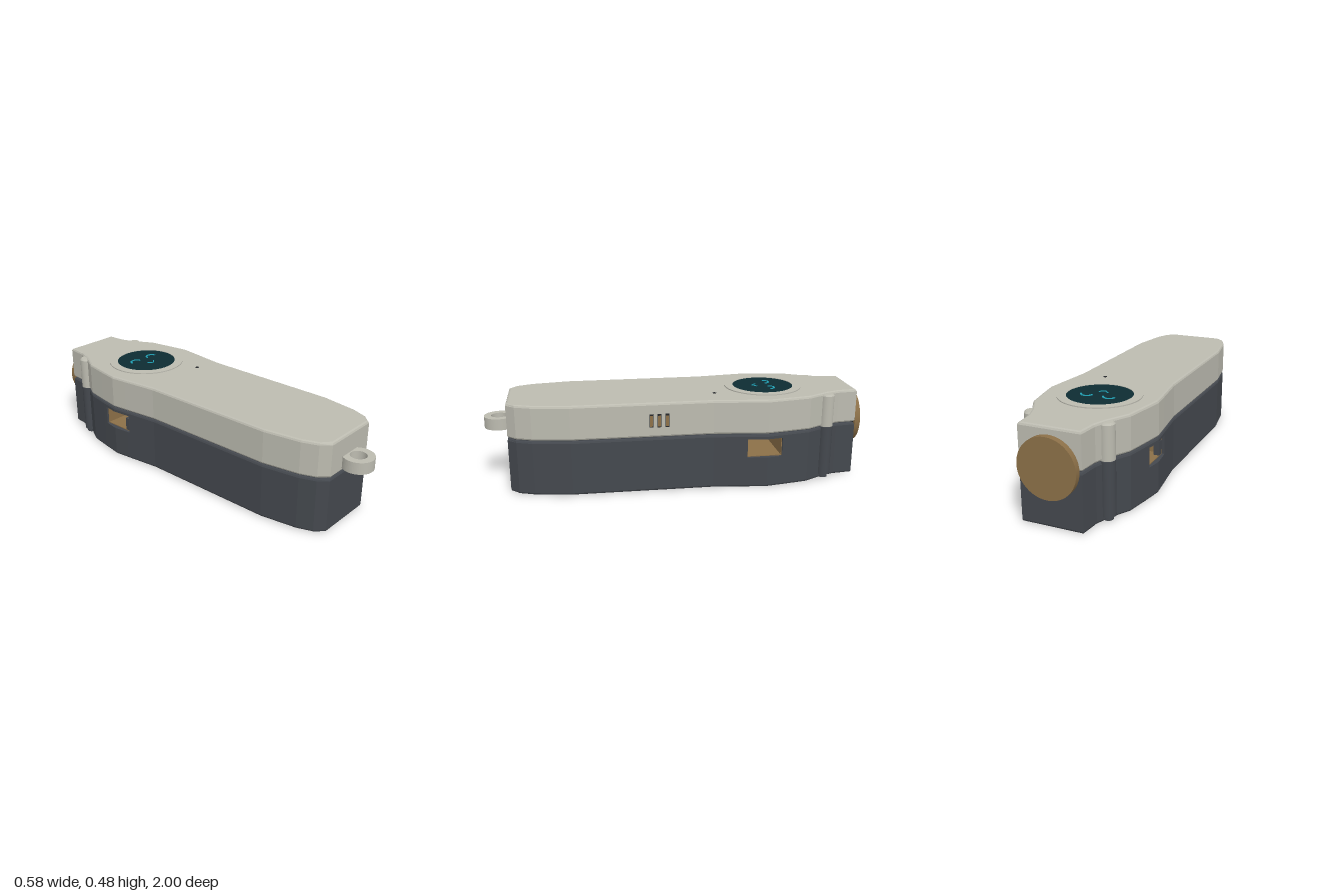
import * as THREE from 'three';

const mat = (name, color, opts = {}) => {
  const m = new THREE.MeshStandardMaterial({ color, ...opts });
  m.name = name;
  return m;
};

// Plan outline: [z, half width]
const OUTLINE = [
  [-0.965, 0.155], [-0.86, 0.165], [-0.79, 0.19], [-0.68, 0.25], [-0.56, 0.272], [-0.45, 0.29], [-0.36, 0.28],
  [-0.17, 0.257], [0.56, 0.255], [0.75, 0.225], [0.83, 0.195], [0.875, 0.155],
];

function halfWidth(z) {
  for (let i = 1; i < OUTLINE.length; i++) {
    const [z0, w0] = OUTLINE[i - 1], [z1, w1] = OUTLINE[i];
    if (z <= z1) return w0 + (w1 - w0) * (z - z0) / (z1 - z0);
  }
  return OUTLINE[OUTLINE.length - 1][1];
}

// Slab following the outline between two z limits; levels are [y, inset] from bottom to top
function slab(levels, zMin = -0.965, zMax = 0.875) {
  const zs = [zMin, ...OUTLINE.map(p => p[0]).filter(z => z > zMin && z < zMax), zMax];
  const n = zs.length;
  const rings = levels.map(([y, inset]) => {
    const row = zs.map(z => [halfWidth(z) - inset, y, Math.min(zMax - inset, Math.max(zMin + inset, z))]);
    return [...row, ...row.map(([x, yy, z]) => [-x, yy, z]).reverse()];
  });
  const pos = [];
  const quad = (a, b, c, d) => pos.push(...a, ...b, ...c, ...a, ...c, ...d);
  for (let k = 0; k + 1 < rings.length; k++) {
    const lo = rings[k], hi = rings[k + 1];
    for (let i = 0; i < 2 * n; i++) {
      const j = (i + 1) % (2 * n);
      quad(lo[i], hi[i], hi[j], lo[j]);
    }
  }
  const bottom = rings[0], top = rings[rings.length - 1], left = i => 2 * n - 1 - i;
  for (let i = 0; i + 1 < n; i++) {
    quad(top[i], top[left(i)], top[left(i + 1)], top[i + 1]);
    quad(bottom[i], bottom[i + 1], bottom[left(i + 1)], bottom[left(i)]);
  }
  const g = new THREE.BufferGeometry();
  g.setAttribute('position', new THREE.Float32BufferAttribute(pos, 3));
  g.computeVertexNormals();
  return g;
}

// Ring or arc plate lying flat, with its underside at y = 0
function flatArc(outer, inner, depth, start = 0, end = Math.PI * 2) {
  const s = new THREE.Shape();
  if (end - start > 6.28) {
    s.absarc(0, 0, outer, 0, Math.PI * 2);
    const hole = new THREE.Path();
    hole.absarc(0, 0, inner, 0, Math.PI * 2, true);
    s.holes.push(hole);
  } else {
    s.absarc(0, 0, outer, start, end, false);
    s.absarc(0, 0, inner, end, start, true);
  }
  return new THREE.ExtrudeGeometry(s, { depth, bevelEnabled: false, curveSegments: 32 }).rotateX(-Math.PI / 2);
}

export function createModel() {
  const model = new THREE.Group();
  model.name = 'handheldDevice';
  const shell = mat('warm grey shell', 0xbcbbb0);
  const dark = mat('charcoal base', 0x44484e);
  const brass = mat('brass', 0x8c7048);
  const glass = mat('screen teal', 0x0d2c33);
  const glow = mat('cyan glow', 0x1fa0b4);
  const black = mat('dark holes', 0x25272a);

  const add = (name, geo, material, x = 0, y = 0, z = 0) => {
    const m = new THREE.Mesh(geo, material);
    m.name = name;
    m.position.set(x, y, z);
    model.add(m);
    return m;
  };
  const box = (w, h, d) => new THREE.BoxGeometry(w, h, d);

  // Lower case, with a port cut right through from side to side
  const PY0 = 0.165, PY1 = 0.265, PZ0 = -0.53, PZ1 = -0.345;
  add('lowerCase', slab([[0, 0.012], [0.004, 0.004], [0.012, 0], [PY0, 0]]), dark);
  add('lowerCaseBack', slab([[PY0, 0], [PY1, 0]], -0.965, PZ0), dark);
  add('lowerCaseFront', slab([[PY0, 0], [PY1, 0]], PZ1, 0.875), dark);
  add('lowerCaseRim', slab([[PY1, 0], [0.279, 0], [0.287, 0.004], [0.29, 0.011]]), dark);
  add('seam', slab([[0.286, 0.012], [0.299, 0.012]]), dark);

  // Brass lining of the port and the stop inside it
  const pz = (PZ0 + PZ1) / 2, depth = PZ1 - PZ0;
  for (const y of [PY0 + 0.002, PY1 - 0.002]) add('portLining', box(0.53, 0.004, depth), brass, 0, y, pz);
  for (const z of [PZ0 + 0.002, PZ1 - 0.002]) add('portWall', box(0.53, PY1 - PY0, 0.004), brass, 0, (PY0 + PY1) / 2, z);
  add('portStop', box(0.03, 0.07, 0.04), dark, -0.25, 0.204, PZ1 - 0.02);

  // Upper case
  add('upperCase', slab([[0.294, 0.011], [0.297, 0.004], [0.304, 0], [0.463, 0], [0.471, 0.004], [0.475, 0.012]]), shell);

  // Round display with a smiling face
  const SZ = -0.485;
  add('displayBezel', flatArc(0.207, 0.162, 0.006), shell, 0, 0.4745, SZ);
  add('display', new THREE.CylinderGeometry(0.162, 0.162, 0.004, 64), glass, 0, 0.476, SZ);
  for (const s of [-1, 1]) {
    add('eye', flatArc(0.034, 0.025, 0.003, 0.1, Math.PI - 0.1), glow, s * 0.059, 0.478, -0.504);
    const lip = add('mouth', box(0.034, 0.003, 0.006), glow, s * 0.0115, 0.4795, -0.439);
    lip.rotation.y = s * 0.75;
  }
  add('microphoneHole', new THREE.CylinderGeometry(0.01, 0.01, 0.003, 16), black, 0.115, 0.475, -0.197);

  // Speaker slots on the left side
  for (const z of [0.072, 0.112, 0.152]) {
    add('slotRim', box(0.004, 0.07, 0.02), black, 0.2552, 0.382, z);
    add('slot', box(0.004, 0.056, 0.015), brass, 0.2562, 0.38, z);
  }

  // Lanyard loop at the front
  add('lanyardLoop', flatArc(0.078, 0.041, 0.06), shell, 0, 0.31, 0.922);

  // Strap posts beside the neck
  const profile = pts => new THREE.LatheGeometry(pts.map(p => new THREE.Vector2(...p)), 24);
  for (const s of [-1, 1]) {
    const post = new THREE.Group();
    post.name = s > 0 ? 'leftPost' : 'rightPost';
    post.position.set(s * 0.188, 0, -0.79);
    const upper = new THREE.Mesh(profile([[0, 0.294], [0.037, 0.294], [0.037, 0.294], [0.037, 0.46], [0.037, 0.46], [0.029, 0.469], [0.029, 0.469], [0, 0.469]]), shell);
    upper.name = 'postTop';
    const lower = new THREE.Mesh(profile([[0, 0.004], [0.025, 0.004], [0.025, 0.004], [0.025, 0.02], [0.025, 0.02], [0.037, 0.024], [0.037, 0.024], [0.037, 0.292], [0.037, 0.292], [0, 0.292]]), dark);
    lower.name = 'postBottom';
    post.add(upper, lower);
    model.add(post);
  }

  // Brass cap on the back end
  add('endCapStem', new THREE.CylinderGeometry(0.125, 0.125, 0.02, 48).rotateX(Math.PI / 2), black, 0, 0.295, -0.963);
  add('endCap', new THREE.CylinderGeometry(0.146, 0.146, 0.03, 48).rotateX(Math.PI / 2), brass, 0, 0.295, -0.985);

  // Screw holes underneath
  const screws = [[0.1, 0.775], [-0.1, 0.775], [0.15, 0.15], [-0.16, 0.15], [0.15, -0.175], [-0.16, -0.175], [0.13, -0.46], [0.13, -0.66]];
  screws.forEach(([x, z], i) => {
    const r = i < 2 ? 0.025 : 0.013;
    add('screwHole', new THREE.CylinderGeometry(r, r, 0.004, 20), black, x, 0.001, z);
  });

  return model;
}
